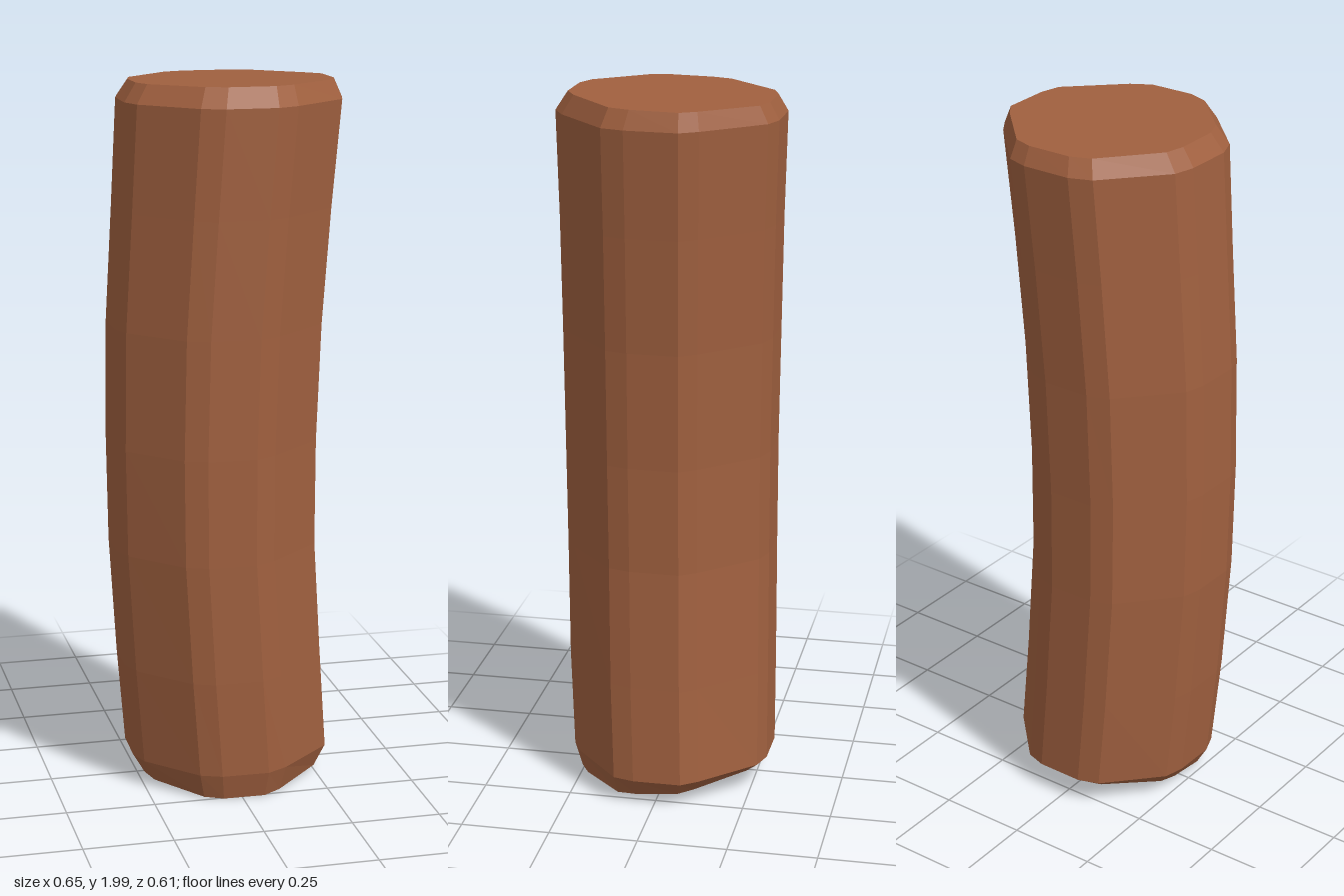
import * as THREE from 'three';

// Cross-section: an octagon with bevelled corners, as [x, z] round the log
const SECTION = [
  [-0.075, -0.302], [0.065, -0.3], [0.125, -0.28], [0.27, -0.125],
  [0.303, -0.077], [0.3, 0.067], [0.283, 0.13], [0.125, 0.27],
  [0.065, 0.302], [-0.075, 0.3], [-0.137, 0.276], [-0.275, 0.13],
  [-0.297, 0.07], [-0.295, -0.065], [-0.28, -0.125], [-0.137, -0.28],
];

// Rings from bottom to top: height, x offset, z offset, x scale, z scale, tilt along z
const RINGS = [
  [0.035, 0.01, 0.0, 0.84, 0.85, -0.09],
  [0.085, 0.01, -0.007, 0.95, 0.94, -0.01],
  [0.36, -0.012, 0.002, 0.955, 0.96, 0],
  [0.7, -0.033, 0.008, 0.955, 0.965, 0],
  [1.0, -0.035, 0.01, 0.965, 0.97, 0],
  [1.33, -0.026, 0.008, 0.98, 0.98, 0],
  [1.65, -0.004, 0.004, 0.99, 0.99, 0],
  [1.942, 0.018, 0.0, 1.01, 1.01, 0.01],
  [1.992, 0.025, -0.005, 0.92, 0.91, 0.02],
];

function ringPoints([y, cx, cz, sx, sz, tilt]) {
  return SECTION.map(([x, z]) => new THREE.Vector3(cx + x * sx, y + tilt * z, cz + z * sz));
}

function makeMesh(name, triangles, material) {
  const geometry = new THREE.BufferGeometry().setFromPoints(triangles);
  geometry.computeVertexNormals();
  const mesh = new THREE.Mesh(geometry, material);
  mesh.name = name;
  return mesh;
}

export function createModel() {
  const group = new THREE.Group();
  group.name = 'bentLog';
  const brown = new THREE.MeshStandardMaterial({ color: 0xa0603f, flatShading: true });
  brown.name = 'warm brown';

  const rings = RINGS.map(ringPoints);
  const n = SECTION.length;

  // Faceted sides, including the bevel at each end
  const sides = [];
  for (let j = 0; j < rings.length - 1; j++) {
    for (let i = 0; i < n; i++) {
      const k = (i + 1) % n;
      const a = rings[j][i], b = rings[j][k], c = rings[j + 1][k], d = rings[j + 1][i];
      sides.push(a, d, c, a, c, b);
    }
  }
  group.add(makeMesh('logSides', sides, brown));

  // Flat cut ends
  const cap = (ring, up) => {
    const centre = ring.reduce((s, p) => s.add(p), new THREE.Vector3()).divideScalar(n);
    return ring.flatMap((p, i) => {
      const q = ring[(i + 1) % n];
      return up ? [centre, q, p] : [centre, p, q];
    });
  };
  group.add(makeMesh('topEnd', cap(rings[rings.length - 1], true), brown));
  group.add(makeMesh('bottomEnd', cap(rings[0], false), brown));
  return group;
}
